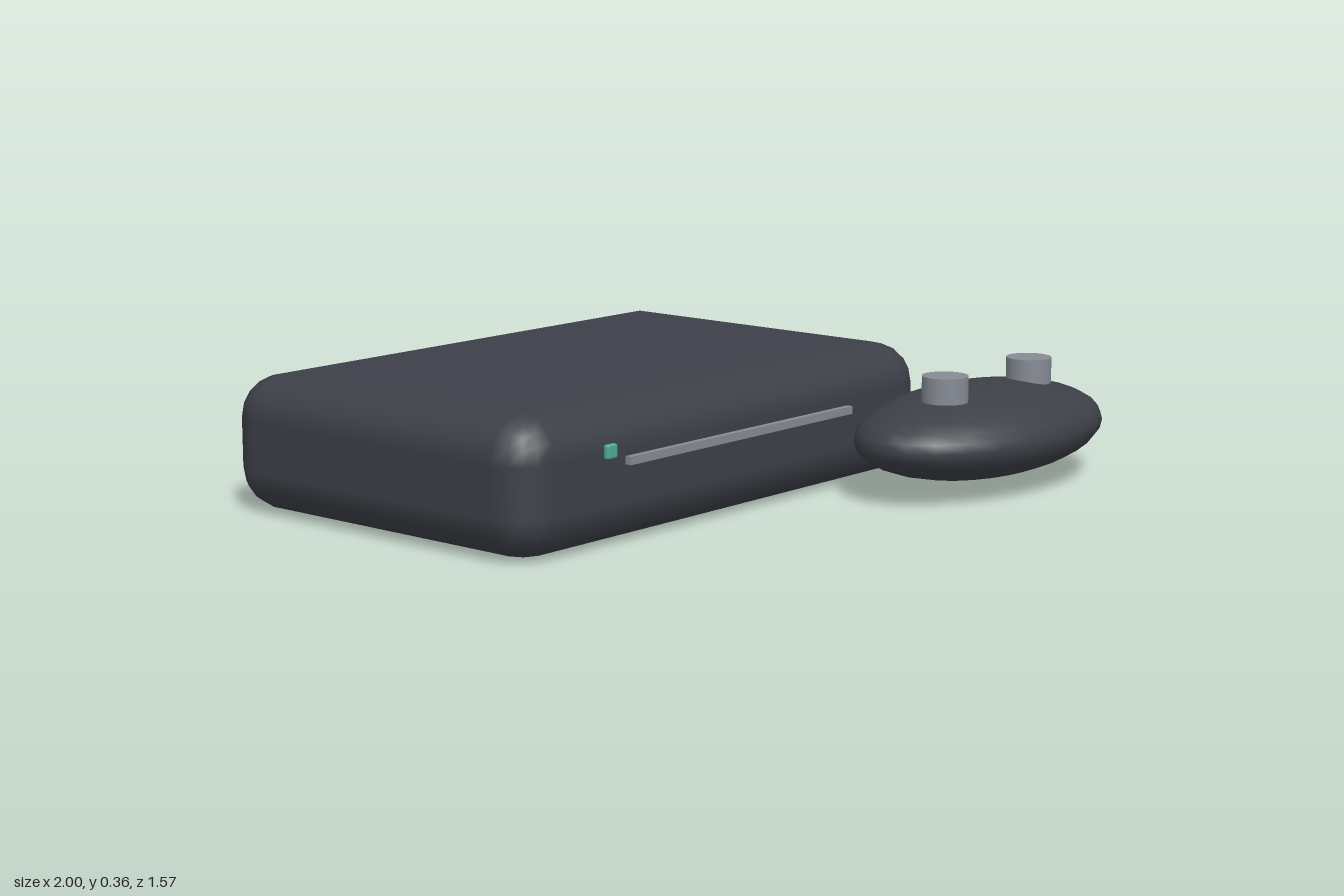
import * as THREE from 'three';
import { RoundedBoxGeometry } from 'three/addons/geometries/RoundedBoxGeometry.js';

const mat = (color) => new THREE.MeshStandardMaterial({ color });

export function createModel() {
  const model = new THREE.Group();
  const dark = mat(0x3d4048);
  const grey = mat(0x868b95);
  const teal = mat(0x4fa898);

  const add = (parent, name, geometry, material, x, y, z) => {
    const mesh = new THREE.Mesh(geometry, material);
    mesh.name = name;
    mesh.position.set(x, y, z);
    parent.add(mesh);
    return mesh;
  };

  // Console: soft-edged box with a disc slot and power light on its front
  const gameConsole = new THREE.Group();
  gameConsole.name = 'console';
  model.add(gameConsole);
  add(gameConsole, 'consoleBody', new RoundedBoxGeometry(1.615, 0.36, 1.08, 2, 0.115), dark, -0.1925, 0.18, -0.245);
  add(gameConsole, 'discSlot', new THREE.BoxGeometry(0.89, 0.021, 0.018), grey, -0.195, 0.219, 0.305);
  add(gameConsole, 'powerLight', new RoundedBoxGeometry(0.037, 0.037, 0.017, 2, 0.006), teal, -0.711, 0.254, 0.311);

  // Controller: flattened ellipsoid with two thumbsticks
  const controller = new THREE.Group();
  controller.name = 'controller';
  model.add(controller);
  const shell = new THREE.SphereGeometry(1, 24, 16).scale(0.449, 0.124, 0.263);
  add(controller, 'controllerBody', shell, dark, 0.549, 0.153, 0.521);
  const stick = new THREE.CylinderGeometry(0.062, 0.062, 0.07, 24);
  for (const [name, x] of [['rightThumbstick', 0.341], ['leftThumbstick', 0.731]]) {
    add(controller, name, stick, grey, x, 0.293, 0.552);
  }

  return model;
}
